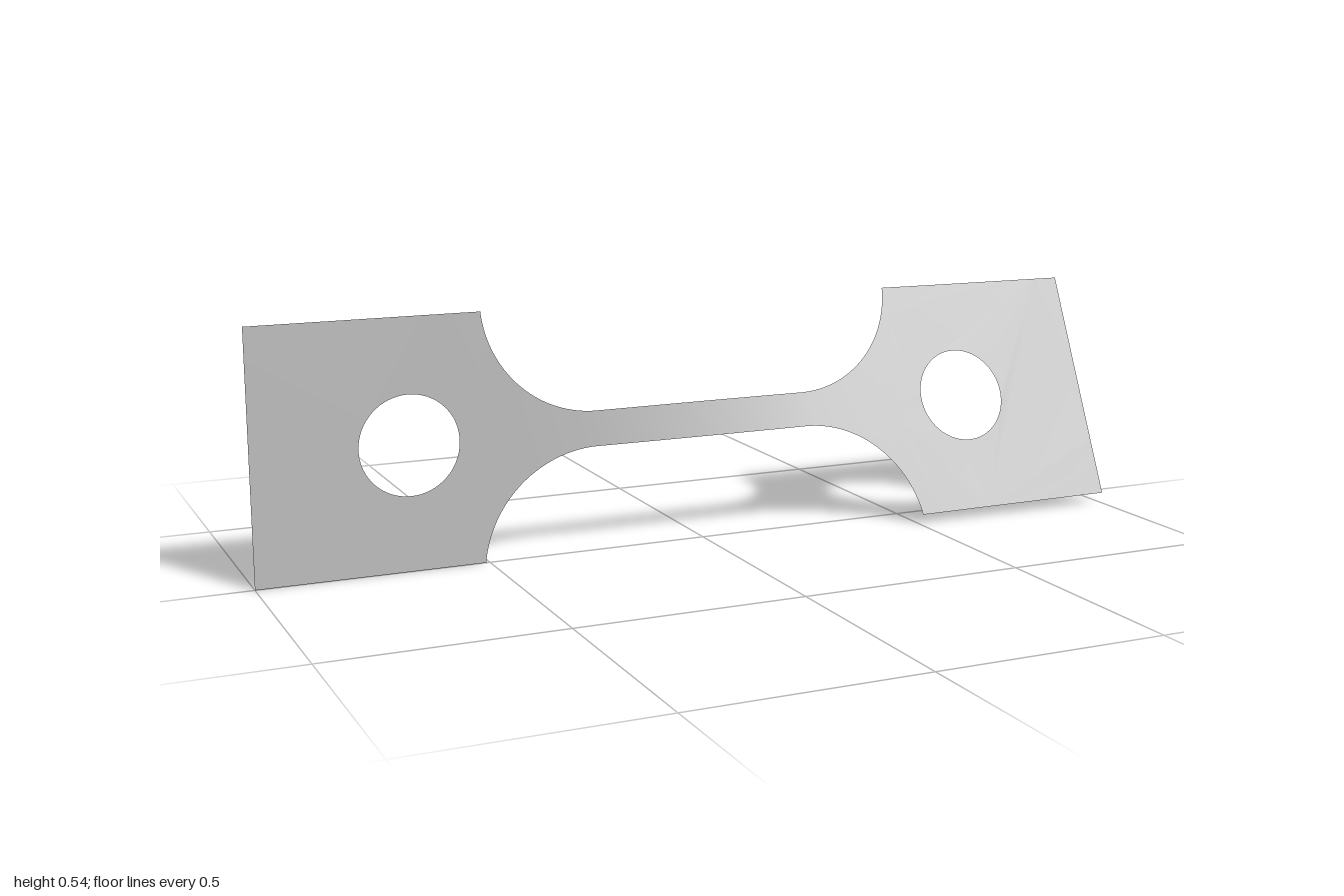
import * as THREE from 'three';

const MID = 0.271;          // height of the long axis, also half the grip height
const SHOULDER = 0.508;     // where the grips meet the fillets
const NECK = 0.25;          // where the fillets meet the straight neck
const NECK_HALF = 0.039;
const RADIUS = 0.26;

// Half height of the neck and its round fillets at x
function halfHeight(x) {
  const d = Math.max(0, Math.abs(x) - NECK);
  return Math.min(MID, NECK_HALF + RADIUS - Math.sqrt(Math.max(0, RADIUS * RADIUS - d * d)));
}

// Twist in degrees along x: most of it happens in the slender neck
const TWIST = [[-0.42, 0], [-0.27, 2], [0.27, 21], [0.4, 22.4], [0.508, 23], [0.65, 23.8], [1, 24.9]];
function twistAt(x) {
  if (x <= TWIST[0][0]) return 0;
  for (let i = 1; i < TWIST.length; i++) {
    const [x0, a0] = TWIST[i - 1], [x1, a1] = TWIST[i];
    if (x <= x1) return THREE.MathUtils.degToRad(a0 + (a1 - a0) * (x - x0) / (x1 - x0));
  }
  return THREE.MathUtils.degToRad(TWIST[TWIST.length - 1][1]);
}

// Turn every vertex about the long axis, top edge leaning back
function twist(geometry) {
  const p = geometry.attributes.position;
  for (let i = 0; i < p.count; i++) {
    const x = p.getX(i), h = p.getY(i), a = twistAt(x);
    p.setXYZ(i, x, MID + h * Math.cos(a), -h * Math.sin(a));
  }
  geometry.computeVertexNormals();
  return geometry;
}

// Square end plate with a round hole
function gripGeometry(side) {
  const [x0, x1] = side > 0 ? [SHOULDER, 1] : [-1, -SHOULDER];
  const corners = [[x0, -MID], [x1, -MID], [x1, MID], [x0, MID]];
  const points = [];
  const steps = 8;
  corners.forEach(([ax, ay], i) => {
    const [bx, by] = corners[(i + 1) % 4];
    for (let k = 0; k < steps; k++) {
      const t = k / steps;
      points.push(new THREE.Vector2(ax + (bx - ax) * t, ay + (by - ay) * t));
    }
  });
  const shape = new THREE.Shape(points);
  shape.holes.push(new THREE.Path().absarc(side * 0.668, 0, 0.108, 0, Math.PI * 2, true));
  return twist(new THREE.ShapeGeometry(shape, 32));
}

// Slender neck with fillets, scaled column by column
function neckGeometry() {
  const geometry = new THREE.PlaneGeometry(SHOULDER * 2, 2, 120, 8);
  const p = geometry.attributes.position;
  for (let i = 0; i < p.count; i++) {
    // Bunch the columns towards the steep ends of the fillets
    const x = SHOULDER * Math.sin(p.getX(i) / SHOULDER * Math.PI / 2);
    p.setXY(i, x, p.getY(i) * halfHeight(x));
  }
  return twist(geometry);
}

export function createModel() {
  const group = new THREE.Group();
  group.name = 'twistedTestStrip';
  const metal = new THREE.MeshStandardMaterial({ color: 0xbfbfbf, side: THREE.DoubleSide });
  metal.name = 'plain grey metal';

  const add = (name, geometry) => {
    const mesh = new THREE.Mesh(geometry, metal);
    mesh.name = name;
    group.add(mesh);
  };
  add('leftGrip', gripGeometry(1));
  add('rightGrip', gripGeometry(-1));
  add('neck', neckGeometry());
  return group;
}
